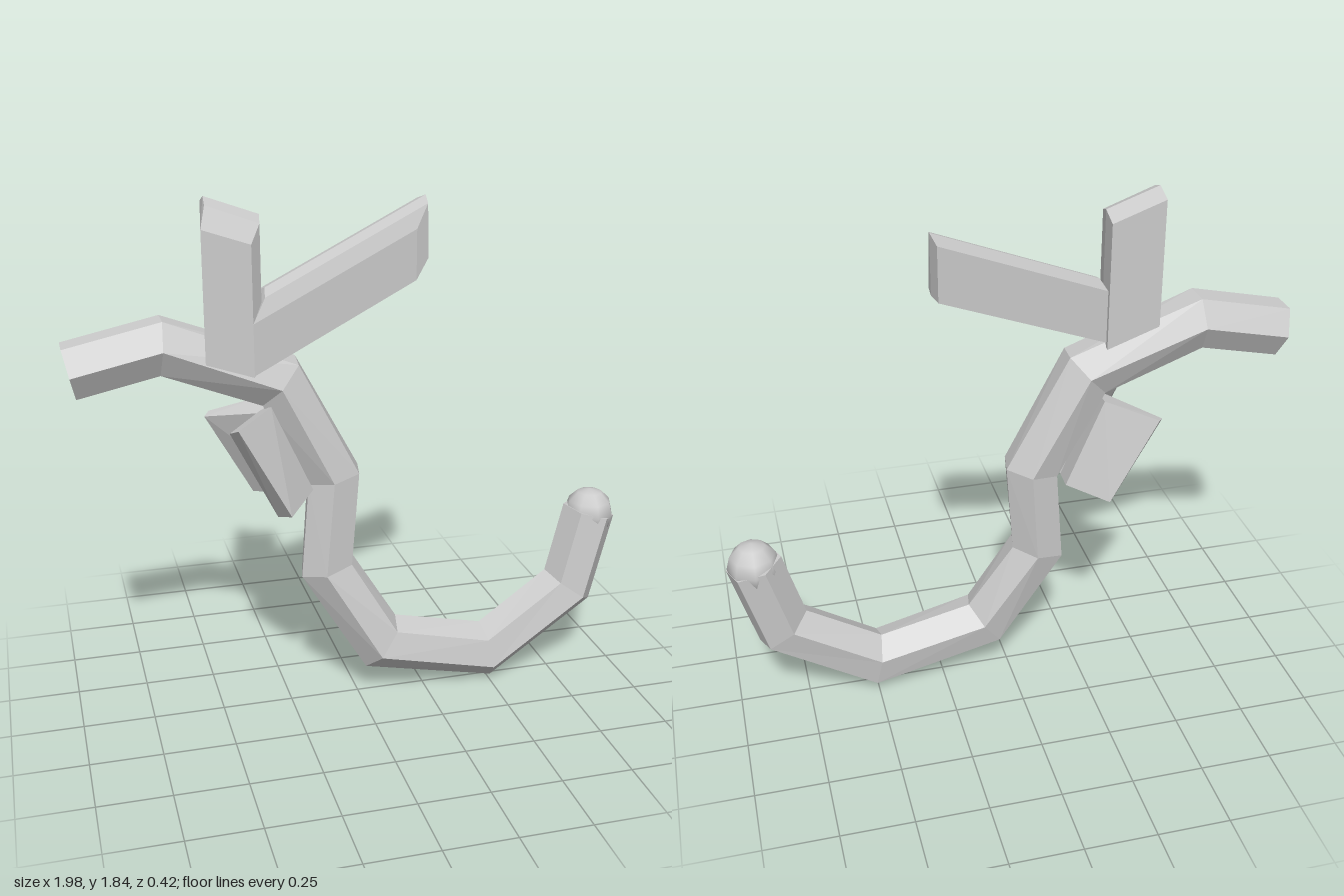
import * as THREE from 'three';
import { ConvexGeometry } from 'three/addons/geometries/ConvexGeometry.js';

const SIDES = 6, RADIUS = 0.1;

// Hexagonal bar with mitred joints; each point is [x, y, z, twist in degrees]
function barGeometry(path) {
  const pts = path.map(p => new THREE.Vector2(p[0], p[1]));
  const pos = [], index = [];
  path.forEach(([x, y, z, twist], i) => {
    const a = pts[i].clone().sub(pts[Math.max(i - 1, 0)]).normalize();
    const b = pts[Math.min(i + 1, pts.length - 1)].clone().sub(pts[i]).normalize();
    const t = a.clone().add(b).normalize();
    const inner = i > 0 && i < pts.length - 1;
    const mitre = inner ? 1 / t.dot(a) : 1;
    for (let k = 0; k < SIDES; k++) {
      const ang = THREE.MathUtils.degToRad(90 - twist + k * 360 / SIDES);
      const n = Math.cos(ang) * RADIUS * mitre;
      pos.push(x - t.y * n, y + t.x * n, z + Math.sin(ang) * RADIUS * 0.97);
    }
  });
  for (let i = 0; i < path.length - 1; i++) {
    for (let k = 0; k < SIDES; k++) {
      const a = i * SIDES + k, b = i * SIDES + (k + 1) % SIDES;
      index.push(a, b, a + SIDES, b, b + SIDES, a + SIDES);
    }
  }
  // End caps
  const last = (path.length - 1) * SIDES;
  for (let k = 1; k < SIDES - 1; k++) {
    index.push(0, k + 1, k, last, last + k, last + k + 1);
  }
  const geo = new THREE.BufferGeometry();
  geo.setAttribute('position', new THREE.Float32BufferAttribute(pos, 3));
  geo.setIndex(index);
  const flat = geo.toNonIndexed();
  flat.computeVertexNormals();
  return flat;
}

// Solid around a set of corner points
const hull = corners => new ConvexGeometry(corners.map(c => new THREE.Vector3(...c)));

// Prism from an end outline and the offset to its other end
const prism = (ring, [dx, dy, dz]) =>
  hull([...ring, ...ring.map(([x, y, z]) => [x + dx, y + dy, z + dz])]);

export function createModel() {
  const group = new THREE.Group();
  const flat = new THREE.MeshStandardMaterial({ color: 0xcccccc, flatShading: true });
  const smooth = new THREE.MeshStandardMaterial({ color: 0xcccccc });
  const add = (name, geo, mat = flat) => {
    const mesh = new THREE.Mesh(geo, mat);
    mesh.name = name;
    group.add(mesh);
    return mesh;
  };

  // Curved main bar
  add('hookBar', barGeometry([
    [-0.96, 1.285, -0.035, 0],
    [-0.66, 1.35, -0.035, 0],
    [-0.265, 1.2, -0.035, -6],
    [-0.08, 0.845, -0.03, -10],
    [-0.108, 0.505, -0.02, -12],
    [0.085, 0.19, 0.01, -16],
    [0.495, 0.097, 0, -20],
    [0.825, 0.315, -0.02, -20],
    [0.905, 0.605, -0.035, -20],
  ]));

  // Rounded tip
  const tip = add('roundedTip', new THREE.SphereGeometry(0.092, 8, 6), smooth);
  tip.position.set(0.905, 0.597, -0.035);

  // Upright stub
  add('uprightBranch', prism([
    [-0.525, 1.74, 0.065], [-0.365, 1.685, 0.065],
    [-0.505, 1.81, 0.03], [-0.33, 1.745, 0.03],
    [-0.5, 1.83, -0.03], [-0.32, 1.765, -0.03],
    [-0.5, 1.805, -0.1], [-0.32, 1.74, -0.1],
  ], [0, -0.44, 0]));

  // Slanted branch
  add('slantedBranch', prism([
    [0.225, 1.51, -0.06], [0.225, 1.685, -0.06],
    [0.27, 1.765, -0.085], [0.275, 1.58, -0.085],
    [0.28, 1.785, -0.145], [0.28, 1.58, -0.145],
    [0.27, 1.765, -0.21], [0.27, 1.58, -0.21],
  ], [-0.59, -0.26, 0.125]));

  // Pair of short wings spreading behind the bend
  add('frontWing', hull([
    [-0.45, 1.115, 0.213], [-0.28, 0.8, 0.213],
    [-0.465, 1.08, 0.125], [-0.31, 0.77, 0.125],
    [-0.31, 1.135, 0.05], [-0.17, 0.825, 0.05],
    [-0.32, 1.1, -0.05], [-0.19, 0.8, -0.05],
  ]));
  add('backWing', hull([
    [-0.485, 1.06, -0.195], [-0.32, 0.76, -0.195],
    [-0.505, 1.05, -0.165], [-0.34, 0.755, -0.165],
    [-0.31, 1.12, -0.125], [-0.18, 0.81, -0.125],
    [-0.32, 1.1, 0], [-0.19, 0.8, 0],
  ]));

  return group;
}
